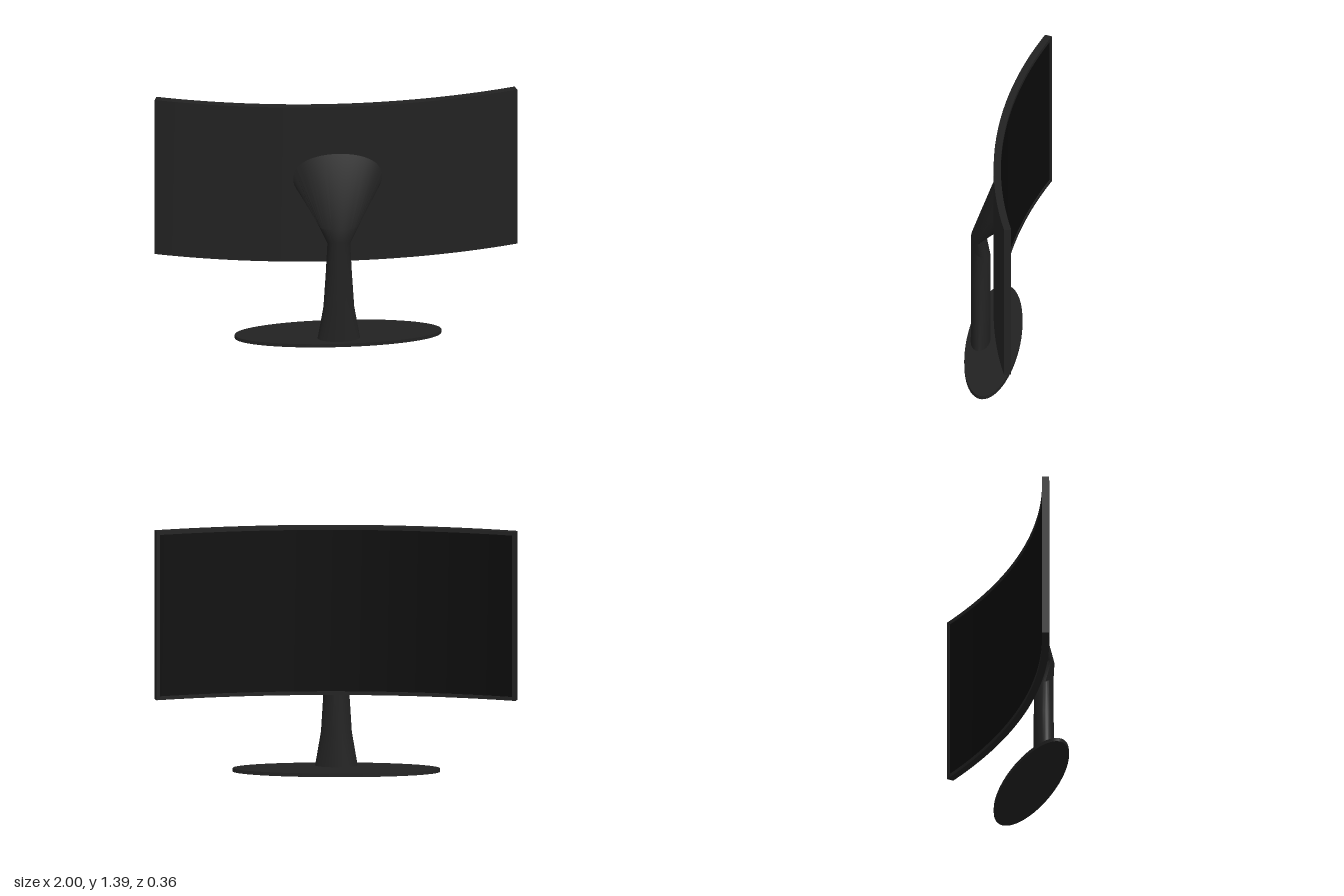
import * as THREE from 'three';
import { toCreasedNormals } from 'three/addons/utils/BufferGeometryUtils.js';

const R = 3.41;          // radius of the panel's outer (rear) face
const REAR_Z = 0.01;     // z of the rear face at the middle
const HALF = Math.asin(1 / R) * R; // half the arc length

const body = new THREE.MeshStandardMaterial({ color: 0x222222 });
const glass = new THREE.MeshStandardMaterial({ color: 0x0b0b0b });

function add(parent, name, geometry, material) {
  const mesh = new THREE.Mesh(geometry, material);
  mesh.name = name;
  parent.add(mesh);
  return mesh;
}

// Box given by its extents along the arc, in height and in depth behind
// the rear face, wrapped around the panel's vertical axis.
function bentBox(s0, s1, y0, y1, d0, d1) {
  const segments = Math.max(1, Math.round((s1 - s0) * 20));
  const g = new THREE.BoxGeometry(s1 - s0, y1 - y0, d1 - d0, segments, 1, 1);
  g.translate((s0 + s1) / 2, (y0 + y1) / 2, -(d0 + d1) / 2);
  const p = g.attributes.position;
  for (let i = 0; i < p.count; i++) {
    const a = p.getX(i) / R, r = R + p.getZ(i);
    p.setX(i, r * Math.sin(a));
    p.setZ(i, REAR_Z - R + r * Math.cos(a));
  }
  g.computeVertexNormals();
  return g;
}

// Skin over oval rings: each has a half width and its front and back [y, z].
function loft(rings, sides) {
  const pos = [], index = [];
  for (const [w, front, back] of rings) {
    for (let i = 0; i < sides; i++) {
      const t = (i / sides) * Math.PI * 2, k = (1 + Math.sin(t)) / 2;
      pos.push(w * Math.cos(t),
        THREE.MathUtils.lerp(back[0], front[0], k),
        THREE.MathUtils.lerp(back[1], front[1], k));
    }
  }
  const last = (rings.length - 1) * sides;
  for (let j = 0; j < last; j += sides) {
    for (let i = 0; i < sides; i++) {
      const n = (i + 1) % sides;
      const a = j + i, b = j + n, c = a + sides, d = b + sides;
      index.push(a, c, b, b, c, d);
    }
  }
  // flat end caps
  for (let i = 1; i < sides - 1; i++) {
    index.push(0, i, i + 1, last, last + i + 1, last + i);
  }
  const g = new THREE.BufferGeometry();
  g.setAttribute('position', new THREE.Float32BufferAttribute(pos, 3));
  g.setIndex(index);
  return toCreasedNormals(g, 0.5);
}

export function createModel() {
  const model = new THREE.Group();
  model.name = 'curvedMonitor';

  // Curved panel: rear shell, raised rim and recessed screen facing -z
  const panel = new THREE.Group();
  panel.name = 'panel';
  model.add(panel);
  const y0 = 0.445, y1 = 1.395, rim = 0.02, shell = 0.03, depth = 0.04;
  add(panel, 'rearShell', bentBox(-HALF, HALF, y0, y1, 0, shell), body);
  add(panel, 'bottomBezel', bentBox(-HALF, HALF, y0, y0 + rim, shell, depth), body);
  add(panel, 'topBezel', bentBox(-HALF, HALF, y1 - rim, y1, shell, depth), body);
  add(panel, 'rightBezel', bentBox(-HALF, -HALF + rim, y0 + rim, y1 - rim, shell, depth), body);
  add(panel, 'leftBezel', bentBox(HALF - rim, HALF, y0 + rim, y1 - rim, shell, depth), body);
  add(panel, 'screen',
    bentBox(-HALF + rim, HALF - rim, y0 + rim, y1 - rim, shell, depth - 0.005), glass);

  // Stand: waisted column that leans over and flares into the oval mount
  const stand = new THREE.Group();
  stand.name = 'stand';
  model.add(stand);
  add(stand, 'column', loft([
    [0.118, [0.015, 0.157], [0.015, 0.05]],
    [0.085, [0.21, 0.157], [0.21, 0.05]],
    [0.072, [0.42, 0.157], [0.42, 0.05]],
    [0.063, [0.63, 0.157], [0.575, 0.05]],
    [0.108, [0.71, 0.155], [0.71, 0.08]],
    [0.245, [1.125, 0.003], [0.788, 0.003]],
  ], 48), body);

  // Thin oval foot
  const foot = add(stand, 'base', new THREE.CylinderGeometry(1, 1, 0.02, 64), body);
  foot.scale.set(0.57, 1, 0.148);
  foot.position.set(0, 0.01, 0.033);

  return model;
}
